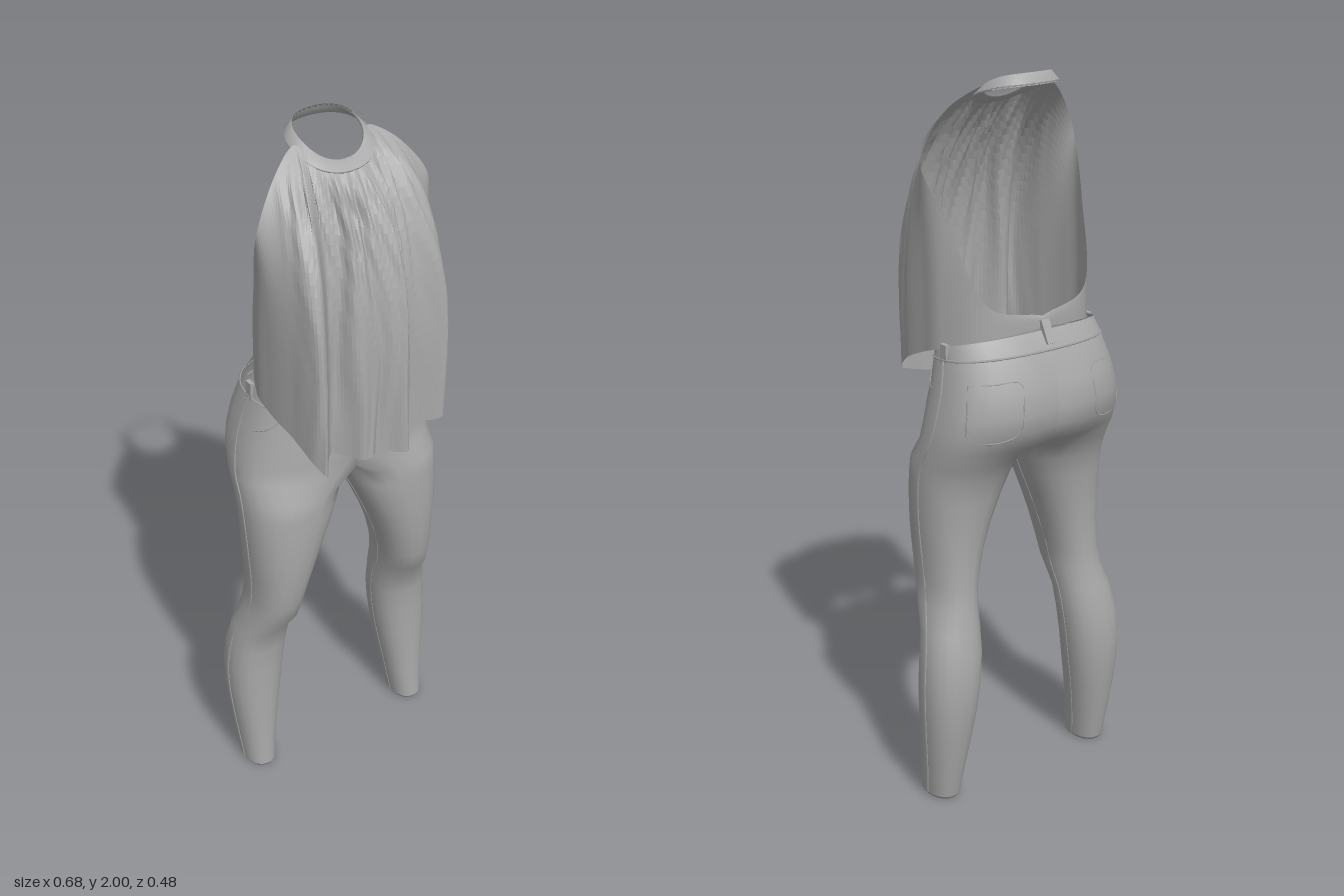
import * as THREE from 'three';

const cloth = new THREE.MeshStandardMaterial({ color: 0xa8a8a8, side: THREE.DoubleSide });
cloth.name = 'grey cloth';
const V = (x, y, z) => new THREE.Vector3(x, y, z);

function mesh(geometry, name, parent) {
  const m = new THREE.Mesh(geometry, cloth);
  m.name = name;
  parent.add(m);
  return m;
}

// Skin a list of rows of points; keep(row, column) chooses the cells to fill
function skin(rows, closed, keep = () => true) {
  const n = rows[0].length, index = [];
  for (let i = 0; i < rows.length - 1; i++) {
    for (let j = 0; j < (closed ? n : n - 1); j++) {
      if (!keep(i, j)) continue;
      const a = i * n + j, b = i * n + (j + 1) % n, c = a + n, d = b + n;
      index.push(a, b, c, b, d, c);
    }
  }
  const g = new THREE.BufferGeometry().setFromPoints(rows.flat());
  g.setIndex(index);
  g.computeVertexNormals();
  return g;
}

const pw = (v, e) => Math.sign(v) * Math.abs(v) ** e;
const OUTER = 16, ALL = 22;

// Leg sections: height, inner x, outer x, front z, back z
const legs = [
  [0.01, 0.22, 0.31, 0.025, -0.10], [0.10, 0.208, 0.318, 0.018, -0.118],
  [0.20, 0.192, 0.328, 0.015, -0.135], [0.28, 0.178, 0.334, 0.014, -0.146],
  [0.36, 0.167, 0.335, 0.014, -0.15], [0.44, 0.158, 0.327, 0.018, -0.144],
  [0.51, 0.153, 0.313, 0.03, -0.128], [0.58, 0.148, 0.292, 0.078, -0.113],
  [0.64, 0.14, 0.286, 0.095, -0.107], [0.72, 0.118, 0.289, 0.108, -0.105],
  [0.80, 0.088, 0.295, 0.115, -0.109], [0.88, 0.053, 0.299, 0.118, -0.118],
  [0.94, 0.026, 0.301, 0.117, -0.13], [0.99, 0.008, 0.30, 0.116, -0.155],
];
// Turned-in hem at the ankle, same columns
const cuff = [
  [0.01, 0.22, 0.31, 0.025, -0.10], [0.003, 0.224, 0.306, 0.021, -0.096],
  [0.01, 0.229, 0.301, 0.016, -0.091], [0.045, 0.226, 0.302, 0.012, -0.096],
];
// Hip sections: height, outer x, front z, back z, tilt
const hips = [
  [1.04, 0.297, 0.112, -0.205, 0], [1.09, 0.289, 0.11, -0.232, 0],
  [1.14, 0.279, 0.108, -0.24, 0], [1.20, 0.264, 0.102, -0.232, 0.03],
  [1.27, 0.246, 0.096, -0.195, 0.12], [1.30, 0.236, 0.09, -0.165, 0.24],
];

function legRing([y, xi, xo, zf, zb]) {
  return Array.from({ length: ALL }, (_, k) => {
    const a = k <= OUTER ? -Math.PI / 4 + 1.5 * Math.PI * k / OUTER
      : 1.25 * Math.PI + Math.PI / 2 * (k - OUTER) / (ALL - OUTER);
    return V((xi + xo) / 2 + (xo - xi) / 2 * pw(Math.sin(a), 0.9), y,
      (zf + zb) / 2 + (zf - zb) / 2 * pw(Math.cos(a), 0.9));
  });
}

function hipRing([y, xo, zf, zb, tilt], row) {
  return Array.from({ length: ALL }, (_, k) => {
    if (k > OUTER) { // seam between the legs
      const t = (k - OUTER) / (ALL - OUTER);
      return V(0, y - 0.025 * Math.sin(t * Math.PI), zb + 0.02 + (zf - zb - 0.04) * t);
    }
    const a = Math.PI * k / OUTER;
    let z = (zf + zb) / 2 + (zf - zb) / 2 * pw(Math.cos(a), k > OUTER / 2 ? 0.75 : 0.88);
    if (k === OUTER && row < 4) z += 0.014; // cleft of the seat
    if (k === 0 && row < 2) z -= 0.02;
    return V(k === OUTER ? 0 : xo * pw(Math.sin(a), 0.85), y - tilt * z, z);
  });
}

function buildTrousers(parent) {
  for (const s of [1, -1]) {
    const side = new THREE.Group();
    side.name = s > 0 ? 'leftTrouserHalf' : 'rightTrouserHalf';
    parent.add(side);
    const rows = [...legs.map(legRing), ...hips.map(hipRing)], cuffRows = cuff.map(legRing);
    [...rows, ...cuffRows].flat().forEach(p => { p.x *= s; });
    mesh(skin(rows, true, (i, j) => i < legs.length || j < OUTER), 'trouserLeg', side);
    mesh(skin(cuffRows, true), 'ankleHem', side);

    // Point on the cloth at a fractional row and column
    const at = (r, k) => {
      const i = Math.min(Math.floor(r), rows.length - 2), j = Math.floor(k);
      const edge = q => rows[q][j].clone().lerp(rows[q][(j + 1) % ALL], k - j);
      return edge(i).lerp(edge(i + 1), r - i);
    };
    const stitch = (points, radius, name) => mesh(new THREE.TubeGeometry(
      new THREE.CatmullRomCurve3(points, false, 'centripetal'), points.length * 3, radius, 4), name, side);
    stitch(rows.map(r => r[8]), 0.003, 'sideSeam');
    stitch(rows.slice(0, legs.length).map(r => r[19]), 0.002, 'innerSeam');
    stitch(rows[18].slice(0, OUTER + 1), 0.003, 'waistbandSeam');
    stitch([[17.3, 10.2], [17.3, 12], [17.3, 13.8], [17.2, 14], [16.2, 14], [15.1, 13.9],
      [14.7, 12.3], [15.1, 10.6], [16.2, 10.3], [17.3, 10.2]].map(p => at(...p)), 0.002, 'backPocketSeam');
    stitch([[18, 4.5], [17.3, 5], [16.9, 6.2], [16.8, 8]].map(p => at(...p)), 0.002, 'frontPocketSeam');

    const loop = mesh(new THREE.BoxGeometry(0.012, 0.055, 0.025), 'sideBeltLoop', side);
    loop.position.set(s * 0.241, 1.29, -0.05);
  }
  const loop = mesh(new THREE.BoxGeometry(0.026, 0.065, 0.014), 'backBeltLoop', parent);
  loop.position.set(0, 1.335, -0.172);
  loop.rotation.x = 0.45;
}

function buildTop(parent) {
  // Upper edge: neckline, armhole, then down to the middle of the back
  const half = [[0, 1.905, 0.055], [0.045, 1.912, 0.045], [0.085, 1.935, 0.015], [0.11, 1.96, -0.03],
    [0.19, 1.905, 0.005], [0.255, 1.79, 0.03], [0.222, 1.63, -0.045], [0.165, 1.425, -0.127], [0, 1.375, -0.155]];
  const hemLeft = [[0, 1.155, 0.208], [0.065, 1.15, 0.235], [0.105, 1.165, 0.17], [0.205, 1.185, 0.19],
    [0.234, 1.235, 0.13], [0.24, 1.272, 0.05], [0.235, 1.30, -0.03], [0.165, 1.33, -0.127], [0, 1.345, -0.16]];
  const hemRight = hemLeft.map(p => [...p]);
  hemRight[1] = [0.055, 1.155, 0.212];
  hemRight[2] = [0.125, 1.165, 0.16];
  hemRight[3] = [0.195, 1.17, 0.237];
  hemRight[4] = [0.226, 1.24, 0.135];
  const line = (l, r) => new THREE.CatmullRomCurve3([
    ...r.slice(1).reverse().map(([x, y, z]) => V(-x, y, z)), ...l.map(p => V(...p))], false, 'catmullrom', 0.5);
  const upper = line(half, half), hem = line(hemLeft, hemRight);

  const COLS = 160, ROWS = 28, rows = [];
  for (let i = 0; i <= ROWS; i++) {
    const v = (i / ROWS) ** 1.3, ease = 1 - (1 - v) ** 4, row = [];
    for (let j = 0; j <= COLS; j++) {
      const u = j / COLS, a = upper.getPoint(u), b = hem.getPoint(u), w = (u - 0.5) * 16;
      const p = V(a.x + (b.x - a.x) * ease, a.y + (b.y - a.y) * v, a.z + (b.z - a.z) * ease);
      // Gathers under the collar that soften down the cloth and fade towards the sides
      const front = THREE.MathUtils.smoothstep(4.2 - Math.abs(w), 0, 1.2);
      const gather = Math.exp(-v * 4);
      const fold = 0.004 * Math.sin(w * 4.5 + 1.2 * Math.sin(v * 4 + w))
        + (0.002 + 0.008 * gather) * Math.sin(w * 9 + 1.5 * Math.sin(v * 8 + w * 2))
        + 0.004 * gather * Math.sin(w * 15 - v * 40);
      const out = V(p.x, 0, p.z + 0.04).normalize();
      row.push(p.addScaledVector(out, fold * front * Math.min(1, v * 10)));
    }
    rows.push(row);
  }
  const g = skin(rows, false).toNonIndexed();
  g.computeVertexNormals();
  mesh(g, 'drapedTop', parent);
}

// Closed neckband: wide and sloping at the front, thin and upright at the back
function buildCollar(parent) {
  const path = [];
  for (let i = 0; i <= 40; i++) {
    const a = i / 40 * Math.PI * 2, c = Math.cos(a), s = Math.sin(a);
    const w = 0.012 + 0.004 * c, h = 0.015 - 0.002 * c;
    const y = 1.96 - 0.037 * c - 0.014 * c * c;
    const ring = [[1, -0.8], [1.15, -0.4], [-0.8, 1], [-1, 0.6]];
    path.push(ring.map(([r, t]) => V(
      (0.099 + w * r) * pw(s, 0.9), y + h * t, -0.042 + (0.086 + w * r) * pw(c, 0.9))));
  }
  mesh(skin(path, true), 'collar', parent);
}

export function createModel() {
  const model = new THREE.Group();
  model.name = 'outfit';
  const trousers = new THREE.Group(), top = new THREE.Group();
  trousers.name = 'trousers';
  top.name = 'halterTop';
  model.add(trousers, top);
  buildTrousers(trousers);
  buildTop(top);
  buildCollar(top);
  return model;
}
